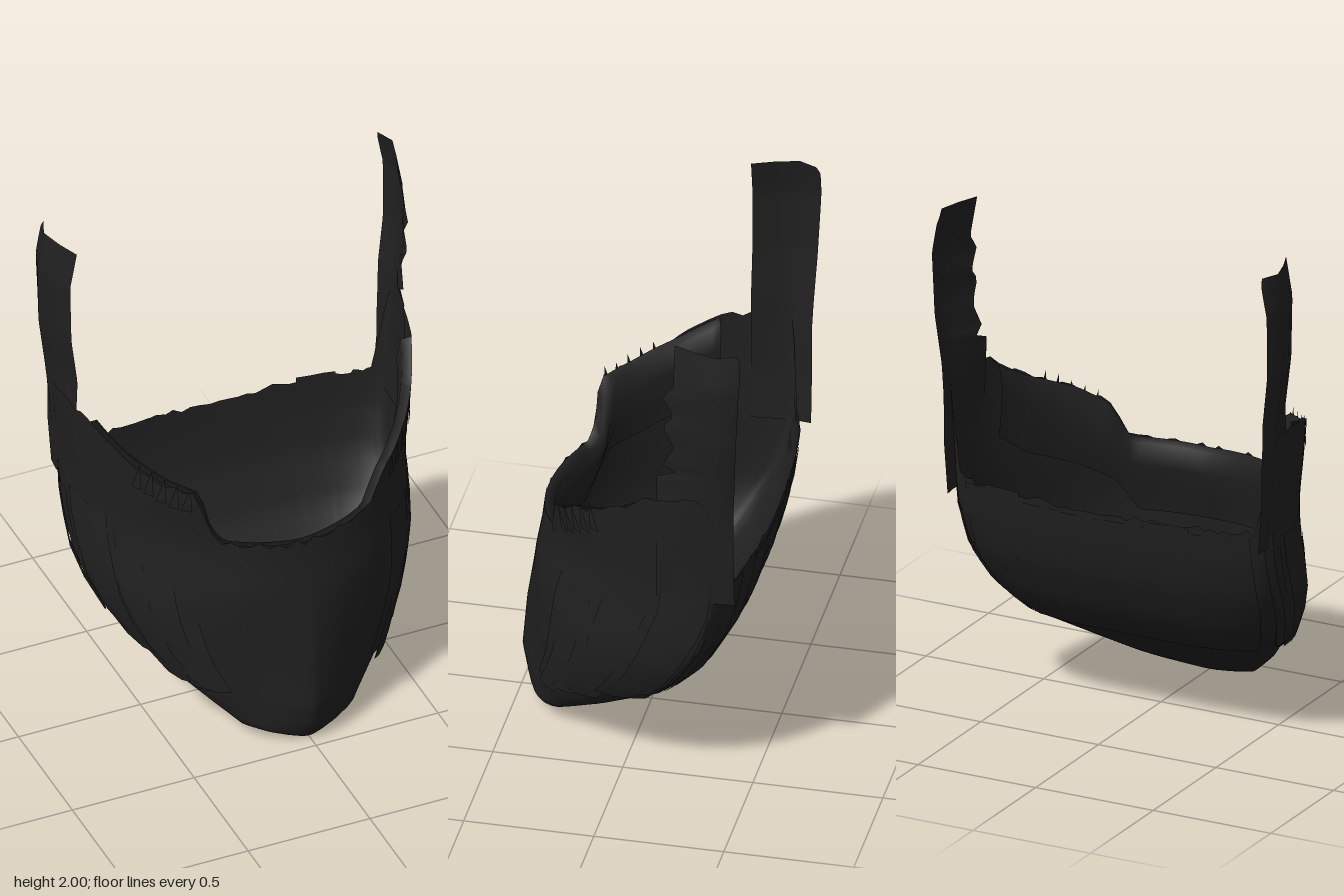
import * as THREE from 'three';

const charcoal = new THREE.MeshStandardMaterial({ color: 0x202020, side: THREE.DoubleSide });
charcoal.name = 'charcoal';

let seed = 7;
const rand = () => (seed = (seed * 16807) % 2147483647) / 2147483647;

// piecewise linear lookup through [key, value] pairs
function lookup(keys, t) {
  for (let i = 1; i < keys.length; i++) {
    const [a, va] = keys[i - 1], [b, vb] = keys[i];
    if (t <= b) return va + (vb - va) * Math.max(0, (t - a) / (b - a));
  }
  return keys[keys.length - 1][1];
}

// profile of the beard by height: half width, front z, back z, squareness of the back
const halfWidth = [[0.01, 0.06], [0.03, 0.14], [0.06, 0.23], [0.12, 0.3], [0.2, 0.39], [0.3, 0.48], [0.4, 0.56],
  [0.5, 0.61], [0.6, 0.645], [0.8, 0.665], [1, 0.675], [1.2, 0.69], [1.35, 0.7]];
const frontZ = [[0.01, 0.44], [0.08, 0.475], [0.18, 0.497], [0.4, 0.478], [0.6, 0.447], [0.8, 0.41], [0.92, 0.395], [1.1, 0.425]];
const backZ = [[0.01, 0.37], [0.1, 0.2], [0.22, 0], [0.35, -0.22], [0.47, -0.33], [0.65, -0.43], [0.8, -0.47], [0.93, -0.49]];
const backPower = [[0.45, 0.6], [0.9, 0.95]];

// rim height by angle from the front, for each side
const rimRight = [[0, 0.89], [0.46, 0.91], [0.53, 0.96], [0.57, 1.03], [0.6, 1.14], [0.8, 1.17], [1.05, 1.23],
  [1.25, 1.3], [1.5, 1.34], [1.75, 1.3], [1.95, 0.94], [3.15, 0.93]];
const rimLeft = [[0, 0.89], [0.46, 0.91], [0.58, 1.04], [0.75, 1.11], [1.05, 1.2], [1.25, 1.3],
  [1.5, 1.34], [1.75, 1.3], [1.95, 0.94], [3.15, 0.93]];

// point on the beard at an angle (0 = front) and height, pushed outward by off;
// a narrow ridge brings the middle of the chin forward
function surface(angle, y, off = 0) {
  const w = lookup(halfWidth, y), tip = lookup(frontZ, y), b = lookup(backZ, y);
  const f = Math.min(tip, 0.432);
  const mid = b + (f - b) * (0.3 - 0.16 * Math.min(1, y / 0.8));
  const s = Math.sin(angle), c = Math.cos(angle);
  const x = w * Math.sign(s) * Math.abs(s) ** (c < 0 ? lookup(backPower, y) : 1);
  const ridge = c > 0 ? (tip - f) * Math.max(0, 1 - Math.abs(x) / 0.19) : 0;
  const z = mid + (c > 0 ? (f - mid) * c : -(mid - b) * Math.abs(c) ** 0.85) + ridge;
  return [x + s * off, y, z + c * off];
}

function rimAt(angle) {
  const a = angle > Math.PI ? angle - 2 * Math.PI : angle;
  return lookup(a < 0 ? rimRight : rimLeft, Math.abs(a));
}

function grid(name, cols, rows, closed, point) {
  const pos = [], idx = [];
  for (let i = 0; i < cols; i++) for (let j = 0; j <= rows; j++) pos.push(...point(i, j / rows));
  for (let i = 0; i < (closed ? cols : cols - 1); i++) {
    for (let j = 0; j < rows; j++) {
      const a = i * (rows + 1) + j, b = ((i + 1) % cols) * (rows + 1) + j;
      idx.push(a, b, b + 1, a, b + 1, a + 1);
    }
  }
  const geo = new THREE.BufferGeometry();
  geo.setAttribute('position', new THREE.Float32BufferAttribute(pos, 3));
  geo.setIndex(idx);
  geo.computeVertexNormals();
  const mesh = new THREE.Mesh(geo, charcoal);
  mesh.name = name;
  return mesh;
}

export function createModel() {
  const group = new THREE.Group();
  group.name = 'beard';

  // main shell: chin, cheeks, and neck with a ragged rim
  const cols = 120;
  const rag = Array.from({ length: cols }, () => (rand() - 0.5) * 0.03);
  group.add(grid('beardShell', cols, 28, true, (i, t) => {
    const a = (i / cols) * Math.PI * 2;
    const top = rimAt(a) + rag[i];
    return surface(a, 0.01 + (top - 0.01) * t ** 1.4);
  }));

  // underside cap
  group.add(grid('chinCap', 24, 1, true, (i, t) => {
    const p = surface((i / 24) * Math.PI * 2, 0.01);
    return t ? p : [0, 0.003, 0.4];
  }));

  // lip rolled inward along the mouth and cheeks, then down the inside
  const lipOff = [[0, 0], [0.25, -0.04], [0.5, -0.05], [1, -0.02]];
  const lipDrop = [[0, 0], [0.25, 0.01], [0.5, 0.1], [1, 0.3]];
  group.add(grid('innerLip', 65, 4, false, (i, t) => {
    const a = (i / 64 - 0.5) * 2.5;
    return surface(a, rimAt(a) - lookup(lipDrop, t), lookup(lipOff, t));
  }));

  // sideburn straps: bands angled in plan, the left one notched along its front edge
  const strapX = [[0.8, 0.66], [1.2, 0.69], [1.4, 0.712], [1.6, 0.737], [1.85, 0.742], [2, 0.715]];
  const bandZ = [-0.235, -0.32, -0.41, -0.465];
  const bandX = [-0.058, -0.024, 0, -0.03];
  const notches = [[1.34, 0.07], [1.42, 0.07], [1.44, 0], [1.46, 0.05], [1.56, 0], [1.65, 0.045], [1.7, 0], [1.78, 0.045], [1.83, 0]];
  for (const side of [-1, 1]) {
    group.add(grid(side > 0 ? 'leftSideburn' : 'rightSideburn', 4, 40, false, (i, t) => {
      const y = 0.88 + 1.12 * t;
      const slant = Math.min(1, Math.max(0.2, (y - 1) / 0.4));
      let z = bandZ[i] - (i === 3 ? 0.03 * Math.max(0, Math.min(1, (y - 1.3) / 0.6, (2.03 - y) / 0.06)) : 0);
      if (i === 0 && side > 0) z += lookup(notches, y);
      return [side * (lookup(strapX, y) + bandX[i] * slant), y, z];
    }));
  }

  // overlapping locks of hair laid along the jaw and cheeks
  for (const side of [-1, 1]) {
    for (let k = 0; k < 12; k++) {
      const a0 = side * (0.8 + k * 0.085), da = 0.1 + rand() * 0.06;
      const low = 0.2 + 0.016 * k + rand() * 0.06, high = low + 0.3 + rand() * 0.25;
      const flare = 0.012 + rand() * 0.02;
      group.add(grid('jawLock', 3, 5, false, (i, t) => {
        const y = low + (high - low) * t + (i === 1 ? -0.01 : 0);
        return surface(a0 + side * da * (i - 1), y, 0.004 + flare * (1 - t));
      }));
    }
  }

  // broad strands down the nape
  for (let k = 0; k < 8; k++) {
    const a0 = 2.2 + k * 0.27, top = 0.9 + rand() * 0.05;
    group.add(grid('napeStrand', 4, 10, false, (i, t) =>
      surface(a0 + 0.1 * (i - 1.5), 0.35 + (top - 0.35) * t, 0.004 + 0.003 * (i % 2))));
  }

  // stray tufts on the upper cheek edge
  for (const side of [-1, 1]) {
    for (let k = 0; k < 5; k++) {
      const a0 = side * (0.64 + k * 0.07), top = rimAt(a0) + 0.02 + rand() * 0.015;
      group.add(grid('cheekTuft', 2, 3, false, (i, t) =>
        surface(a0 + side * 0.06 * i * (1 - t), top - 0.12 * (1 - t), 0.006)));
    }
  }
  return group;
}
